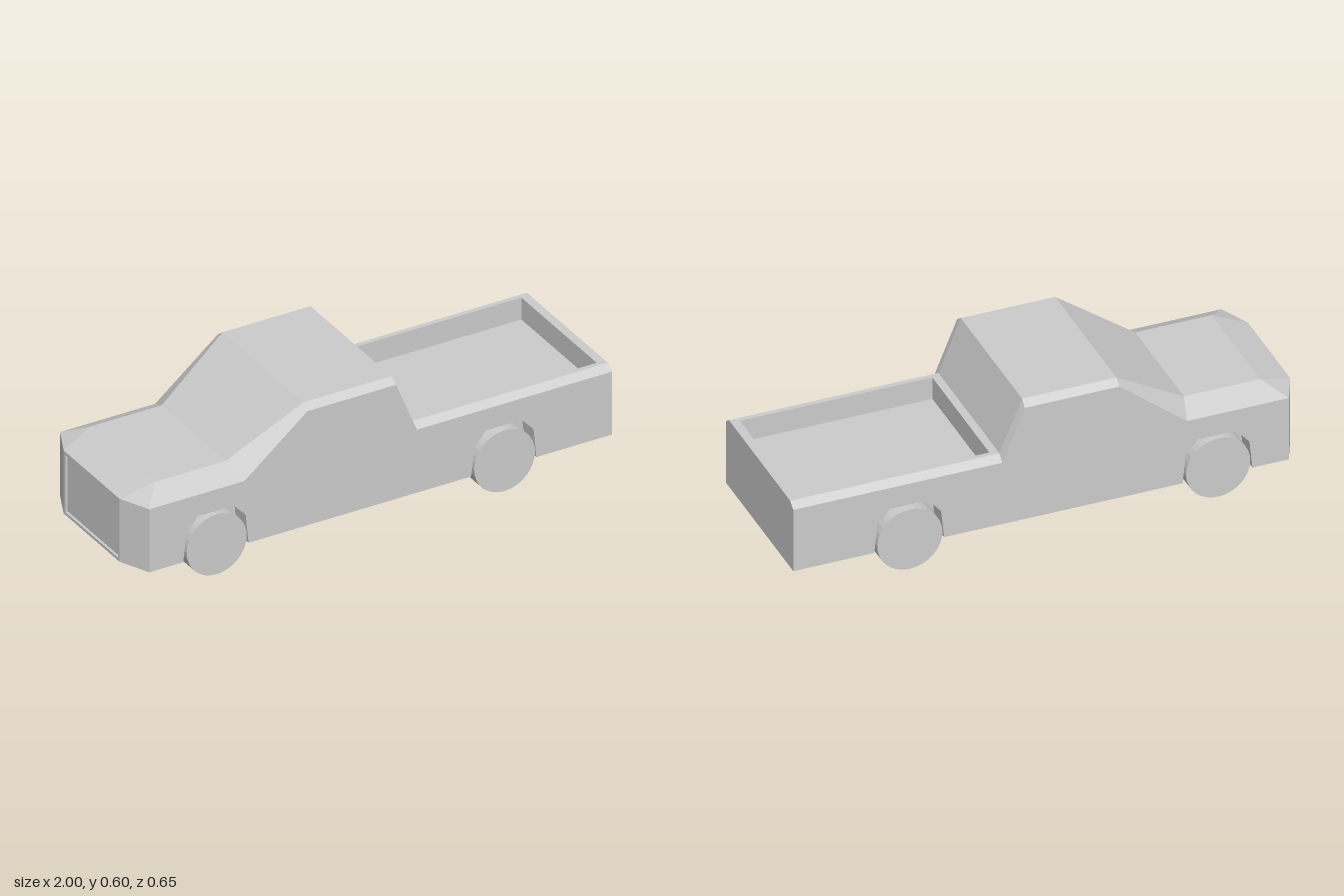
import * as THREE from 'three';

const material = new THREE.MeshStandardMaterial({ color: 0xcccccc, flatShading: true, side: THREE.DoubleSide });

function named(name, geometry) {
  const mesh = new THREE.Mesh(geometry, material);
  mesh.name = name;
  return mesh;
}

// Ribbon of quads between two point rows; faces the viewer when a runs left to right below b
function strip(name, a, b, closed = false) {
  const pos = [];
  const n = a.length;
  for (let i = 0; i < (closed ? n : n - 1); i++) {
    const j = (i + 1) % n;
    pos.push(...a[i], ...a[j], ...b[j], ...a[i], ...b[j], ...b[i]);
  }
  const g = new THREE.BufferGeometry();
  g.setAttribute('position', new THREE.Float32BufferAttribute(pos, 3));
  g.computeVertexNormals();
  return named(name, g);
}

const flat = (pts) => new THREE.ShapeGeometry(new THREE.Shape(pts.map(([x, y]) => new THREE.Vector2(x, y))));
const atZ = (pts, z) => pts.map(([x, y]) => [x, y, z]);
const mirrorZ = (pts) => pts.map(([x, y, z]) => [x, y, -z]);
const rect = (x0, x1, y, z) => [[x0, y, z], [x1, y, z], [x1, y, -z], [x0, y, -z]];

const W = 0.32, BASE = 0.1, BELT = 0.365, ARCH_Z = 0.24;
const wheels = [
  { name: 'front', x: -0.665, y: 0.138, r: 0.126 },
  { name: 'rear', x: 0.545, y: 0.129, r: 0.128 },
];
const arch = (cx) => [[-0.137, BASE], [-0.125, 0.215], [-0.075, 0.275], [0.075, 0.275], [0.125, 0.222], [0.137, BASE]]
  .map(([x, y]) => [cx + x, y]);

// Body edges from nose to tail: the shoulder on the flank and the crown further in
const shoulder = atZ([[-0.945, BELT], [-0.545, BELT], [-0.28, 0.58], [0.092, 0.58], [0.18, BELT], [1, BELT]], W);
const crown = [[-0.87, 0.412, 0.23], [-0.57, 0.412, 0.23], [-0.28, 0.602, 0.29],
  [0.09, 0.602, 0.29], [0.178, 0.387, 0.29], [1, 0.387, 0.29]];

// Everything that exists once on each flank
function createSide(name) {
  const side = new THREE.Group();
  side.name = name;
  const arches = wheels.map((w) => arch(w.x));

  const outline = [[-0.945, BASE], ...arches[0], ...arches[1], [1, BASE], ...[...shoulder].reverse()];
  const panel = named('sidePanel', flat(outline));
  panel.position.z = W;
  side.add(panel, strip('shoulderBevel', shoulder, crown));

  // Half of the floor, notched around the wheels
  const notch = (cx) => [[cx + 0.137, W], [cx + 0.137, ARCH_Z], [cx - 0.137, ARCH_Z], [cx - 0.137, W]];
  const floor = flat([[-1, 0], [1, 0], [1, W], ...notch(wheels[1].x), ...notch(wheels[0].x), [-0.945, W], [-1, 0.2]]);
  floor.rotateX(Math.PI / 2).translate(0, BASE, 0);
  side.add(named('underside', floor));

  wheels.forEach((w, i) => {
    side.add(strip(w.name + 'WheelArch', atZ(arches[i], ARCH_Z), atZ(arches[i], W)));
    const wall = named(w.name + 'ArchWall', flat(arches[i]));
    wall.position.z = ARCH_Z;
    const wheel = named(w.name + 'Wheel', new THREE.CylinderGeometry(w.r, w.r, 0.087, 32).rotateX(Math.PI / 2));
    wheel.position.set(w.x, w.y, 0.2825);
    side.add(wall, wheel);
  });
  return side;
}

export function createModel() {
  const truck = new THREE.Group();
  truck.name = 'pickupTruck';

  const left = createSide('nearSide');
  const right = createSide('farSide');
  right.scale.z = -1;
  truck.add(left, right);

  // Hood, windshield, roof and sloping cab back
  const top = crown.slice(0, 5);
  truck.add(strip('hoodAndCab', top, mirrorZ(top)));

  // Nose with angled corners and sloping hood lip
  const nose = (y) => [[-0.945, y, -W], [-1, y, -0.2], [-1, y, 0.2], [-0.945, y, W]];
  const low = nose(BASE), high = nose(BELT);
  const lip = [-0.23, -0.23, 0.23, 0.23].map((z) => [-0.87, 0.412, z]);
  truck.add(strip('noseCorner', low.slice(0, 2), high.slice(0, 2)));
  truck.add(strip('noseCorner', low.slice(2), high.slice(2)));
  truck.add(strip('hoodLip', high, lip));

  // Shallow recessed grille
  const frame = (x, inset) => [[x, BASE + inset, inset - 0.2], [x, BASE + inset, 0.2 - inset],
    [x, BELT - inset, 0.2 - inset], [x, BELT - inset, inset - 0.2]];
  const grille = frame(-0.99, 0.012);
  truck.add(strip('grilleFrame', frame(-1, 0), frame(-1, 0.012), true));
  truck.add(strip('grilleEdge', frame(-1, 0.012), grille, true));
  truck.add(strip('grille', grille.slice(0, 2), [grille[3], grille[2]]));

  // Open cargo bed
  const rim = rect(0.21, 0.965, 0.387, 0.27);
  const bed = rect(0.21, 0.965, 0.295, 0.27);
  truck.add(strip('bedRail', rect(0.178, 1, 0.387, 0.29), rim, true));
  truck.add(strip('bedWalls', rim, bed, true));
  truck.add(strip('bedFloor', bed.slice(0, 2), [bed[3], bed[2]]));

  // Tailgate
  const across = (y, z) => [[1, y, z], [1, y, -z]];
  truck.add(strip('tailgate', across(BASE, W), across(BELT, W)));
  truck.add(strip('tailgateTop', across(BELT, W), across(0.387, 0.29)));

  return truck;
}
